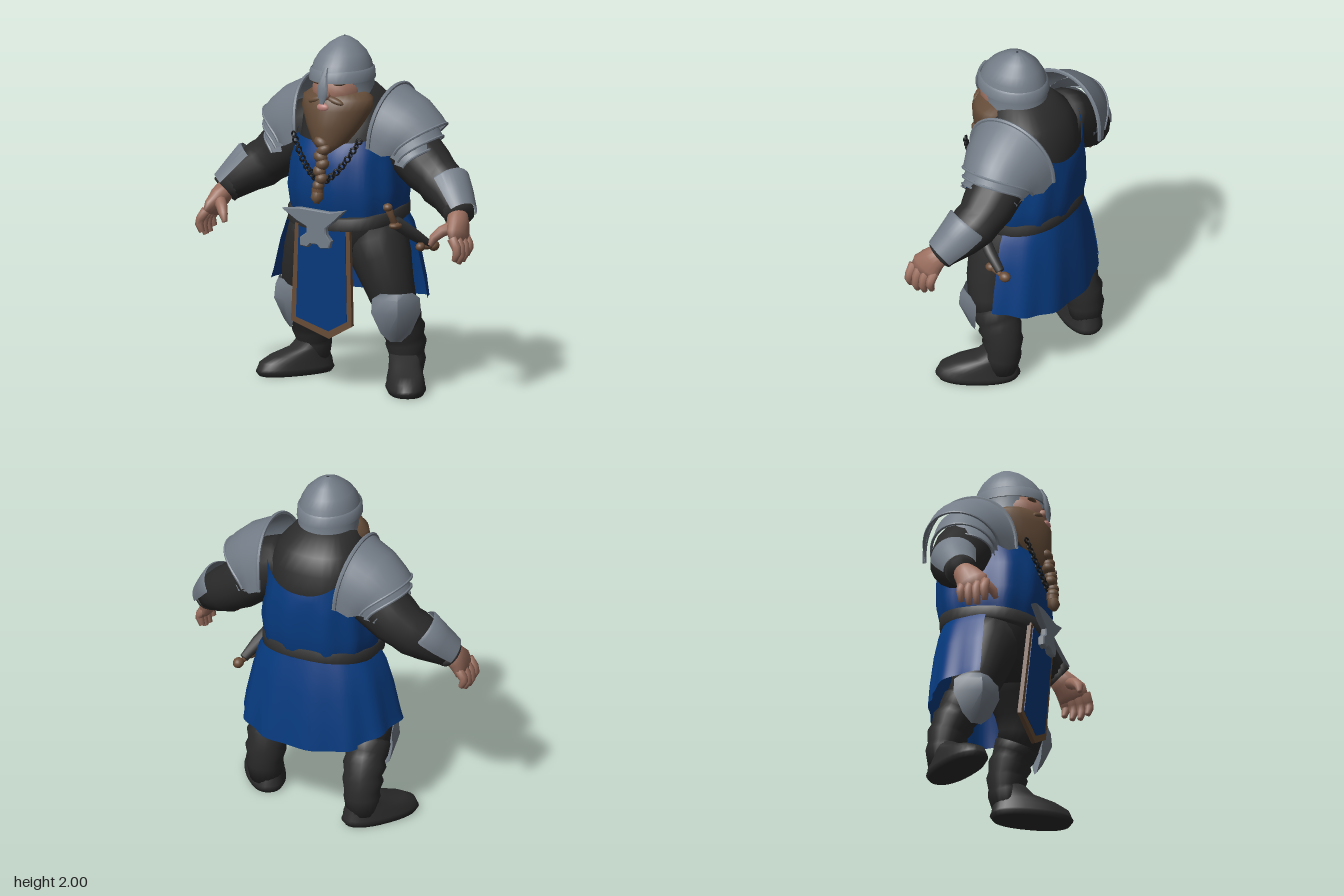
import * as THREE from 'three';
import { toCreasedNormals } from 'three/addons/utils/BufferGeometryUtils.js';

const V = (x, y, z) => new THREE.Vector3(x, y, z);
const TAU = Math.PI * 2;
const paint = (name, color, side = THREE.FrontSide) => {
  const m = new THREE.MeshStandardMaterial({ color, side });
  m.name = name;
  return m;
};

// Surface through rows of points; rows may close into rings
function skin(rows, closed) {
  const n = rows[0].length, pos = [], idx = [];
  rows.forEach(r => r.forEach(p => pos.push(p.x, p.y, p.z)));
  for (let i = 0; i < rows.length - 1; i++)
    for (let j = 0; j < (closed ? n : n - 1); j++) {
      const k = (j + 1) % n, a = i * n + j, b = i * n + k, c = b + n, d = a + n;
      idx.push(a, b, c, a, c, d);
    }
  const g = new THREE.BufferGeometry();
  g.setAttribute('position', new THREE.Float32BufferAttribute(pos, 3));
  g.setIndex(idx);
  g.computeVertexNormals();
  return g;
}
const capped = rows => {
  const mid = r => {
    const c = r.reduce((s, p) => s.add(p), V(0, 0, 0)).divideScalar(r.length);
    return r.map(() => c.clone());
  };
  return [mid(rows[0]), ...rows, mid(rows[rows.length - 1])];
};

// Horizontal rings [y, zCentre, rx, rz] from bottom to top; angle 0 faces front
function loft(rings, { seg = 32, from = 0, to = TAU, power = 2, warp, cap = true } = {}) {
  const closed = to - from > 6.28, e = 2 / power;
  const rows = rings.map(([y, zc, rx, rz], i) => Array.from({ length: closed ? seg : seg + 1 }, (_, j) => {
    const a = from + (to - from) * j / seg, s = Math.sin(a), c = Math.cos(a);
    const p = V(rx * Math.sign(s) * Math.abs(s) ** e, y, zc + rz * Math.sign(c) * Math.abs(c) ** e);
    if (warp) warp(p, a, i);
    return p;
  }));
  return skin(closed && cap ? capped(rows) : rows, closed);
}

// Rings [x, y, z, ru, rv] set square to their path
function limb(path, { seg = 16, from = 0, to = TAU } = {}) {
  const closed = to - from > 6.28, pts = path.map(p => V(p[0], p[1], p[2]));
  const rows = path.map(([, , , ru, rv = ru], i) => {
    const t = pts[Math.min(i + 1, pts.length - 1)].clone().sub(pts[Math.max(i - 1, 0)]).normalize();
    const u = t.clone().cross(V(0, 0, 1)).normalize(), v = u.clone().cross(t);
    return Array.from({ length: closed ? seg : seg + 1 }, (_, j) => {
      const a = from + (to - from) * j / seg;
      return pts[i].clone().addScaledVector(u, ru * Math.sin(a)).addScaledVector(v, rv * Math.cos(a));
    });
  });
  return skin(closed ? capped(rows) : rows, closed);
}

// Curved plate draped front to back: [topX, baseX, topY, baseY, zCentre, rz]
const arch = ([tx, bx, ty, by, zc, rz], s) => Array.from({ length: 19 }, (_, j) => {
  const t = Math.PI * j / 18, h = Math.sin(t);
  return V(s * (bx + (tx - bx) * h ** 1.2), by + (ty - by) * h ** 0.85, zc + rz * Math.cos(t));
});

function plate(points, depth, bevel = 0) {
  const shape = new THREE.Shape(points.map(p => new THREE.Vector2(p[0], p[1])));
  return new THREE.ExtrudeGeometry(shape, { depth, bevelEnabled: bevel > 0, bevelSize: bevel, bevelThickness: bevel, bevelSegments: 1 });
}

export function createModel() {
  const root = new THREE.Group();
  root.name = 'armouredDwarf';
  const D = THREE.DoubleSide;
  const steel = paint('steel', 0x747d88, D), blue = paint('blueCloth', 0x073b80, D), dark = paint('darkCloth', 0x2b2b2b);
  const hair = paint('brownHair', 0x664d39), skinTone = paint('skin', 0x9c7060), lip = paint('lips', 0xb97f78);
  const trim = paint('brownLeather', 0x6c4e38), black = paint('blackIron', 0x17181a), belt = paint('beltLeather', 0x343434);
  const add = (name, geo, mat, parent = root) => {
    const m = new THREE.Mesh(mat === steel ? toCreasedNormals(geo, 0.75) : geo, mat);
    m.name = name;
    parent.add(m);
    return m;
  };
  const ball = (name, x, y, z, rx, ry, rz, mat) => {
    const m = add(name, new THREE.SphereGeometry(1, 16, 12), mat);
    m.position.set(x, y, z);
    m.scale.set(rx, ry, rz);
    return m;
  };

  // Body and clothes
  add('shirt', loft([[0.72, 0, 0.16, 0.13], [0.8, 0, 0.25, 0.2], [0.92, -0.01, 0.295, 0.25], [1.05, -0.02, 0.3, 0.27],
    [1.25, -0.03, 0.29, 0.27], [1.42, -0.04, 0.28, 0.265], [1.53, -0.05, 0.275, 0.24], [1.63, -0.04, 0.235, 0.205], [1.72, 0, 0.16, 0.15]], { power: 2.3 }), dark);
  add('tunic', loft([[0.96, -0.02, 0.3, 0.27], [1.05, -0.02, 0.325, 0.29], [1.15, -0.02, 0.335, 0.31], [1.3, -0.025, 0.315, 0.31],
    [1.38, -0.035, 0.3, 0.295], [1.42, -0.04, 0.293, 0.28]], {
    seg: 64, power: 2.4, cap: false, warp: (p, a, i) => {
      const f = i < 4 ? 1 + 0.018 * Math.sin(11 * a) : 1;
      p.x *= f; p.z *= f;
      if (i === 5) p.y += (Math.cos(a) < 0 ? 0.17 : 0.04) * Math.sin(a) ** 2;
    }
  }), blue);

  // Skirt in two panels with a slit at the back right
  for (const [from, to, lift] of [[1.72, 3.95, 0], [3.9, TAU - 1.38, 0.05]])
    add('skirtPanel', loft([[0.47, -0.02, 0.455, 0.345], [0.62, -0.02, 0.44, 0.338], [0.8, -0.02, 0.4, 0.322], [0.93, -0.02, 0.365, 0.3], [1.02, -0.02, 0.31, 0.28]], {
      seg: 32, from, to, power: 2.3, warp: (p, a, i) => {
        const f = 1 + 0.022 * (4 - i) / 4 * Math.sin(12 * a) + (lift && i < 3 ? 0.015 : 0);
        p.x *= f; p.z *= f;
        if (i === 0) p.y += (0.05 + lift) * Math.sin(a) ** 2;
      }
    }), blue);
  add('belt', loft([[0.965, -0.01, 0.315, 0.285], [0.97, -0.01, 0.335, 0.305], [1.035, -0.01, 0.335, 0.305], [1.04, -0.01, 0.315, 0.285]],
    { seg: 40, power: 2.4, warp: (p, a) => { p.y -= 0.04 * Math.cos(a); } }), belt);

  // Front hanging cloth with leather border
  const tabard = new THREE.Group();
  tabard.name = 'tabard';
  tabard.position.set(0, 0.95, 0.245);
  tabard.rotation.x = 0.075;
  root.add(tabard);
  add('tabardBorder', plate([[-0.19, 0], [-0.24, -0.57], [0, -0.655], [0.15, -0.57], [0.16, 0]], 0.024), trim, tabard);
  add('tabardCloth', plate([[-0.165, -0.01], [-0.205, -0.545], [0, -0.61], [0.12, -0.545], [0.135, -0.01]], 0.032), blue, tabard).position.z = -0.004;

  // Anvil shaped buckle
  add('buckle', plate([[-0.24, 1.035], [-0.15, 0.98], [-0.085, 0.95], [-0.085, 0.91], [-0.125, 0.88], [-0.125, 0.84], [-0.085, 0.835], [-0.065, 0.855],
    [-0.02, 0.855], [0, 0.835], [0.05, 0.84], [0.06, 0.875], [0.03, 0.91], [0.03, 0.95], [0.08, 0.99], [0.15, 1.055], [0.06, 1.035], [-0.13, 1.045]], 0.026, 0.006), steel).position.z = 0.29;

  // Head, beard and braid
  ball('face', 0, 1.71, 0.1, 0.15, 0.14, 0.165, skinTone);
  ball('nose', 0, 1.695, 0.265, 0.032, 0.03, 0.03, skinTone);
  add('beard', loft([[1.37, 0.22, 0.045, 0.07], [1.42, 0.18, 0.115, 0.125], [1.51, 0.14, 0.17, 0.17], [1.61, 0.12, 0.212, 0.185],
    [1.67, 0.11, 0.21, 0.168], [1.705, 0.1, 0.16, 0.145]], { power: 1.8 }), hair);
  ball('mouth', 0, 1.63, 0.288, 0.038, 0.024, 0.02, lip);
  for (const s of [-1, 1]) {
    ball('moustache', s * 0.055, 1.668, 0.252, 0.06, 0.02, 0.026, hair).rotation.z = -s * 0.3;
    ball('brow', s * 0.065, 1.76, 0.225, 0.045, 0.012, 0.022, hair).rotation.z = s * 0.15;
  }
  for (let i = 0; i < 7; i++) {
    const r = 0.046 - i * 0.002, d = i % 2 ? 1 : -1;
    ball('braid', d * 0.008, 1.43 - i * 0.04, 0.29 + i * 0.006, r, 0.034, 0.036, hair).rotation.z = d * 0.5;
  }
  add('braidRing', new THREE.CylinderGeometry(0.033, 0.033, 0.025, 12), trim).position.set(-0.012, 1.165, 0.327);
  add('braidTip', limb([[-0.012, 1.16, 0.327, 0.03], [-0.012, 1.12, 0.335, 0.036], [-0.012, 1.09, 0.34, 0.014]]), hair);

  // Helmet
  add('helmetDome', loft([[1.79, 0.065, 0.172, 0.202], [1.86, 0.062, 0.157, 0.182], [1.91, 0.056, 0.13, 0.148], [1.96, 0.048, 0.08, 0.095], [1.99, 0.042, 0.032, 0.042], [2, 0.04, 0.008, 0.008]], { cap: false }), steel);
  add('helmetBand', loft([[1.768, 0.065, 0.165, 0.195], [1.765, 0.065, 0.18, 0.21], [1.82, 0.065, 0.175, 0.205], [1.83, 0.065, 0.165, 0.195]], { cap: false }), steel);
  add('helmetNeckGuard', loft([[1.67, 0.045, 0.176, 0.19], [1.72, 0.045, 0.167, 0.178], [1.78, 0.055, 0.168, 0.185]], { from: 0.85, to: TAU - 0.85 }), steel);
  add('noseGuard', limb([[0, 1.85, 0.252, 0.014, 0.01], [0, 1.8, 0.277, 0.022, 0.014], [0, 1.74, 0.29, 0.034, 0.016], [0, 1.695, 0.296, 0.03, 0.013], [0, 1.65, 0.298, 0.01, 0.008]], { seg: 8 }), steel);

  for (const s of [-1, 1]) {
    const side = s > 0 ? 'left' : 'right';
    const M = path => path.map(([x, ...r]) => [s * x, ...r]);

    // Neck chain
    for (let i = 0; i < 13; i++) {
      const t = i / 12, x = 0.21 - 0.18 * t;
      const link = add('chainLink', new THREE.TorusGeometry(0.015, 0.006, 5, 10), black);
      link.position.set(s * x, 1.45 - 0.23 * t - 0.03 * Math.sin(Math.PI * t), 0.305 - 1.3 * x * x);
      link.rotation.set(0, (i % 2) * 1.2 + s * 0.3, 0);
    }

    // Shoulder armour
    const shells = [
      [[0.285, 0.235, 1.73, 1.4, -0.08, 0.275], [0.32, 0.26, 1.71, 1.385, -0.08, 0.265], [0.43, 0.31, 1.655, 1.36, -0.08, 0.255], [0.52, 0.35, 1.575, 1.365, -0.08, 0.23], [0.56, 0.37, 1.525, 1.37, -0.08, 0.22]],
      [[0.47, 0.34, 1.57, 1.35, -0.07, 0.195], [0.55, 0.39, 1.455, 1.33, -0.06, 0.19]],
      [[0.46, 0.36, 1.51, 1.31, -0.06, 0.175], [0.53, 0.42, 1.395, 1.3, -0.05, 0.175]],
    ];
    shells.forEach((rings, i) => {
      add(side + 'ShoulderPlate', skin(rings.map(r => arch(r, s)), false), steel);
      const edge = new THREE.CatmullRomCurve3(arch(rings[rings.length - 1], s));
      add(side + 'ShoulderRim', new THREE.TubeGeometry(edge, 30, 0.008, 6), steel);
      if (i === 0) add(side + 'ShoulderCollar', new THREE.TubeGeometry(new THREE.CatmullRomCurve3(arch(rings[0], s)), 36, 0.012, 6), steel);
    });

    // Arm, bracer and hand
    add(side + 'Sleeve', limb(M([[0.2, 1.49, -0.08, 0.14], [0.27, 1.45, -0.08, 0.155], [0.36, 1.37, -0.08, 0.162], [0.48, 1.265, -0.07, 0.15],
      [0.54, 1.22, -0.06, 0.134], [0.58, 1.19, -0.045, 0.137], [0.66, 1.135, -0.01, 0.116], [0.75, 1.05, 0.06, 0.08]])), dark);
    const mid = -s * Math.PI / 2;
    add(side + 'Bracer', limb(M([[0.6, 1.2, -0.035, 0.14, 0.13], [0.61, 1.19, -0.03, 0.147, 0.138], [0.68, 1.12, 0.01, 0.128, 0.122], [0.755, 1.05, 0.06, 0.1]]), { from: mid - 1.3, to: mid + 1.3 }), steel);
    add(side + 'Cuff', limb(M([[0.73, 1.075, 0.045, 0.09], [0.755, 1.045, 0.07, 0.086]])), belt);
    add(side + 'Palm', limb(M([[0.74, 1.06, 0.065, 0.055, 0.06], [0.765, 1.01, 0.105, 0.057, 0.075], [0.785, 0.96, 0.14, 0.045, 0.092], [0.795, 0.92, 0.15, 0.032, 0.088]])), skinTone);
    for (let i = 0; i < 4; i++) {
      const z = 0.08 + i * 0.047, drop = [0.03, 0.005, 0, 0.02][i];
      add(side + 'Finger', limb(M([[0.79, 0.95, z, 0.028], [0.822, 0.9, z + 0.005, 0.027], [0.828, 0.85 + drop, z + 0.008, 0.025], [0.81, 0.805 + drop, z + 0.006, 0.017]]), { seg: 8 }), skinTone);
    }
    add(side + 'Thumb', limb(M([[0.75, 1.0, 0.14, 0.037], [0.705, 0.975, 0.19, 0.032], [0.675, 0.94, 0.225, 0.026], [0.66, 0.9, 0.235, 0.015]]), { seg: 10 }), skinTone);

    // Leg and creased boot; the right leg stands further back
    const dz = s > 0 ? 0 : -0.145;
    const leg = [[0.16, 0.94, 0, 0.17], [0.185, 0.84, 0.01, 0.185], [0.23, 0.74, 0.02, 0.17], [0.275, 0.62, 0.03, 0.145], [0.305, 0.52, 0.02, 0.128], [0.315, 0.43, -0.01, 0.12]];
    const boot = [[0.31, 0.47, 0, 0.112], [0.315, 0.45, -0.01, 0.128], [0.32, 0.4, -0.03, 0.122], [0.32, 0.37, -0.045, 0.113], [0.325, 0.34, -0.055, 0.124], [0.325, 0.29, -0.07, 0.108],
      [0.33, 0.26, -0.075, 0.117], [0.33, 0.2, -0.08, 0.1], [0.335, 0.17, -0.08, 0.105], [0.335, 0.07, -0.065, 0.09]];
    const place = path => M(path.map(([x, y, z, r]) => [x, y, z + dz * (1 - y / 0.95), r]));
    add(side + 'Trousers', limb(place(leg), { seg: 20 }), dark);
    add(side + 'BootShaft', limb(place(boot), { seg: 20 }), dark);
    const foot = add(side + 'Foot', loft([[0.005, 0.02, 0.1, 0.22], [0.03, 0.02, 0.113, 0.238], [0.045, 0.02, 0.108, 0.23], [0.08, 0.015, 0.104, 0.22], [0.115, -0.01, 0.095, 0.18], [0.15, -0.07, 0.088, 0.115], [0.2, -0.1, 0.083, 0.09]], { power: 2.3 }), dark);
    foot.position.set(s * 0.385, 0, 0.03 + dz);
    foot.rotation.y = s * 0.58;

    // Knee plate
    const rows = [[-0.16, 0.1, 0.03], [-0.11, 0.135, 0.085], [0.01, 0.19, 0.14], [0.09, 0.182, 0.135], [0.125, 0.165, 0.09]];
    const knee = add(side + 'KneePlate', skin(rows.map(([y, z, w]) => [-1, -0.55, 0, 0.55, 1].map(t =>
      V(w * t, y, z - 4.5 * w * w * Math.abs(t) ** 1.4))), false), steel);
    knee.position.set(s * 0.3, 0.45, 0.01 + dz * 0.5);
    knee.rotation.y = s * (s > 0 ? 0.62 : 0.8);
  }

  // Sheathed dagger on the left hip
  add('daggerSheath', limb([[0.34, 0.97, 0.07, 0.042, 0.034], [0.4, 0.885, -0.04, 0.038, 0.032], [0.44, 0.82, -0.13, 0.026]], { seg: 10 }), belt);
  add('daggerGrip', limb([[0.35, 0.95, 0.08, 0.022], [0.34, 1.01, 0.11, 0.018], [0.33, 1.06, 0.13, 0.022]], { seg: 10 }), trim);
  ball('daggerGuard', 0.35, 0.955, 0.075, 0.035, 0.022, 0.055, trim);
  ball('daggerPommel', 0.33, 1.065, 0.135, 0.028, 0.024, 0.028, trim);
  ball('sheathTip', 0.455, 0.805, -0.17, 0.03, 0.03, 0.035, trim);
  ball('sheathKnob', 0.43, 0.815, -0.06, 0.026, 0.026, 0.03, trim);
  add('sheathBar', limb([[0.43, 0.815, -0.06, 0.016], [0.44, 0.805, -0.11, 0.014], [0.455, 0.805, -0.17, 0.016]], { seg: 8 }), trim);
  return root;
}
